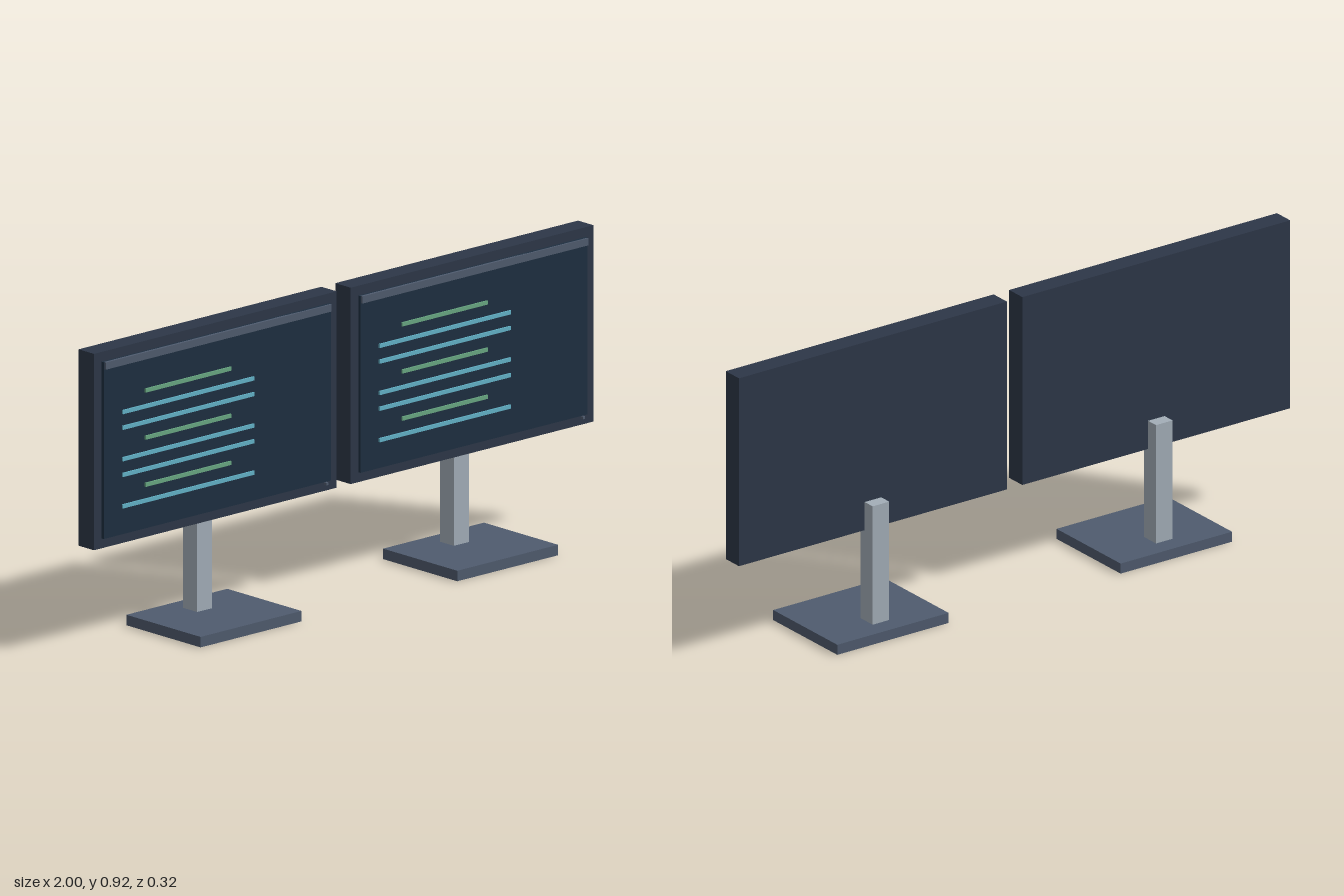
import * as THREE from 'three';

const material = (color) => new THREE.MeshStandardMaterial({ color });
const materials = {
  casing: material(0x2d3748),
  screen: material(0x1e2f40),
  slate: material(0x4f5b6e),
  post: material(0xa3aeb8),
  blue: material(0x63b3c8),
  green: material(0x68a882),
};

// Box given by its [min, max] extent on each axis
function block(name, mat, [x0, x1], [y0, y1], [z0, z1]) {
  const mesh = new THREE.Mesh(new THREE.BoxGeometry(x1 - x0, y1 - y0, z1 - z0), materials[mat]);
  mesh.name = name;
  mesh.position.set((x0 + x1) / 2, (y0 + y1) / 2, (z0 + z1) / 2);
  return mesh;
}

function createMonitor(name) {
  const monitor = new THREE.Group();
  monitor.name = name;

  // Stand
  monitor.add(
    block('base', 'slate', [-0.202, 0.202], [0, 0.032], [-0.16, 0.16]),
    block('post', 'post', [-0.03, 0.03], [0.03, 0.41], [-0.1, -0.04]),
  );

  // Casing, screen, title bar and power light
  monitor.add(
    block('casing', 'casing', [-0.486, 0.486], [0.32, 0.92], [-0.06, 0.006]),
    block('screen', 'screen', [-0.455, 0.455], [0.35, 0.89], [0.006, 0.015]),
    block('titleBar', 'slate', [-0.452, 0.452], [0.868, 0.89], [0.012, 0.021]),
    block('powerLight', 'slate', [0.435, 0.443], [0.339, 0.347], [0.006, 0.017]),
  );

  // Rows of lines on the screen, every third one short and green
  const rows = new THREE.Group();
  rows.name = 'screenLines';
  for (let i = 0; i < 8; i++) {
    const y = 0.772 - i * 0.048;
    const short = i % 3 === 0;
    const extent = short ? [-0.291, 0.051] : [-0.382, 0.144];
    rows.add(block(`line${i + 1}`, short ? 'green' : 'blue', extent, [y - 0.006, y + 0.006], [0.015, 0.02]));
  }
  monitor.add(rows);
  return monitor;
}

export function createModel() {
  const model = new THREE.Group();
  model.name = 'dualMonitors';
  for (const side of [-1, 1]) {
    const monitor = createMonitor(side < 0 ? 'rightMonitor' : 'leftMonitor');
    monitor.position.x = side * 0.514;
    model.add(monitor);
  }
  return model;
}
